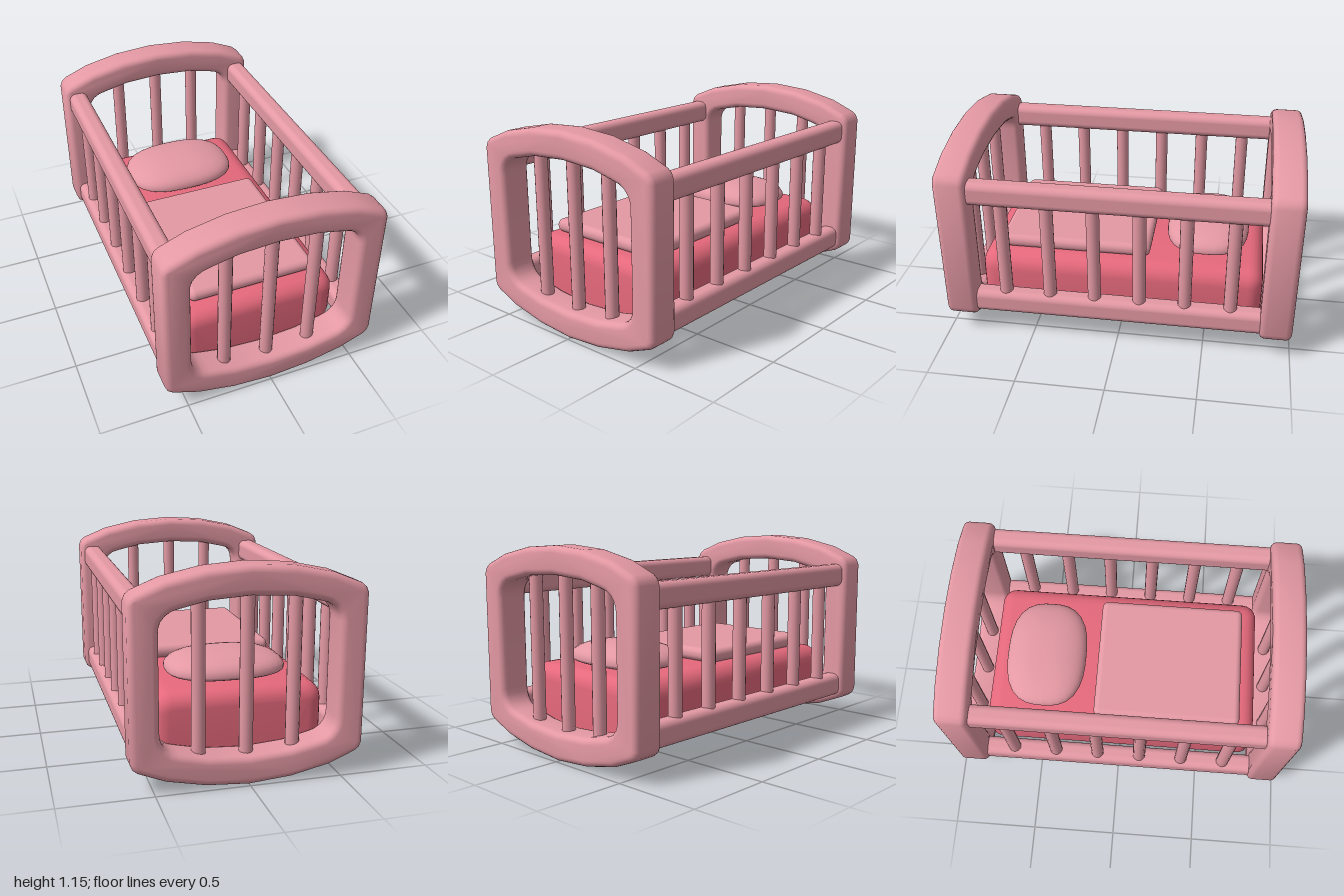
import * as THREE from 'three';
import { toCreasedNormals } from 'three/addons/utils/BufferGeometryUtils.js';
import { RoundedBoxGeometry } from 'three/addons/geometries/RoundedBoxGeometry.js';

const pink = new THREE.MeshStandardMaterial({ color: 0xe499a4 });
pink.name = 'dusty pink';
const red = new THREE.MeshStandardMaterial({ color: 0xe6697c });
red.name = 'rose red';

// Right half of an outline, bottom to top, mirrored into a closed loop
function mirrored(half) {
  const right = half.map(([x, y]) => new THREE.Vector2(x, y));
  const left = half.filter(([x]) => x > 0).reverse().map(([x, y]) => new THREE.Vector2(-x, y));
  return right.concat(left);
}

function addMesh(parent, name, geometry, material, x = 0, y = 0, z = 0) {
  const mesh = new THREE.Mesh(geometry, material);
  mesh.name = name;
  mesh.position.set(x, y, z);
  parent.add(mesh);
  return mesh;
}

// Outline extruded along z, centred, with rounded edges inside the outline
function roundedExtrude(shape, length, bevel) {
  const geometry = new THREE.ExtrudeGeometry(shape, {
    depth: length - 2 * bevel, bevelThickness: bevel, bevelSize: bevel,
    bevelOffset: -bevel, bevelSegments: 5,
  });
  return geometry.translate(0, 0, bevel - length / 2);
}

// Arched end frame with a rounded opening
function endFrameGeometry() {
  const shape = new THREE.Shape(mirrored([
    [0, 0], [0.23, 0.018], [0.44, 0.063], [0.585, 0.122], [0.61, 0.142], [0.623, 0.175],
    [0.623, 0.98], [0.61, 1.012], [0.585, 1.033], [0.44, 1.092], [0.23, 1.137], [0, 1.153],
  ]));
  shape.holes.push(new THREE.Path(mirrored([
    [0, 0.157], [0.22, 0.172], [0.37, 0.205], [0.405, 0.215], [0.435, 0.234], [0.457, 0.262],
    [0.467, 0.29], [0.47, 0.32], [0.47, 0.84], [0.467, 0.868], [0.457, 0.894], [0.435, 0.921],
    [0.405, 0.94], [0.37, 0.95], [0.22, 0.984], [0, 0.998],
  ])));
  return toCreasedNormals(roundedExtrude(shape, 0.185, 0.036), 0.75);
}

// Mattress: rounded top and ends, shallow curved underside
function mattressGeometry() {
  const underside = (x) => 0.088 + 0.132 * (x / 0.47) ** 2;
  const half = [];
  for (let i = 0; i <= 8; i++) half.push([0.47 * i / 8, underside(0.47 * i / 8)]);
  for (let i = 0; i <= 5; i++) {
    const a = i / 5 * Math.PI / 2;
    half.push([0.37 + 0.1 * Math.cos(a), 0.365 + 0.098 * Math.sin(a)]);
  }
  const geometry = roundedExtrude(new THREE.Shape(mirrored(half)), 1.64, 0.085);
  const p = geometry.attributes.position;
  for (let i = 0; i < p.count; i++) {
    if (p.getY(i) < 0.32) p.setY(i, underside(p.getX(i)));
  }
  return toCreasedNormals(geometry, 0.6);
}

// Soft pillow: a sphere squared off in plan, fuller above than below
function pillowGeometry() {
  const geometry = new THREE.SphereGeometry(1, 32, 20);
  const p = geometry.attributes.position;
  const soften = (a, b, n) => Math.pow(Math.abs(a) ** n + Math.abs(b) ** n, -1 / n);
  for (let i = 0; i < p.count; i++) {
    const x = p.getX(i), y = p.getY(i), z = p.getZ(i);
    const r = Math.hypot(x, z);
    const side = soften(r, y, 2.3);
    const plan = r > 1e-6 ? soften(x / r, z / r, 2.7) * side : 0;
    p.setXYZ(i, x * plan * 0.335, y * side * (y > 0 ? 0.1 : 0.045), z * plan * 0.243);
  }
  geometry.computeVertexNormals();
  return geometry;
}

export function createModel() {
  const crib = new THREE.Group();
  crib.name = 'crib';

  // End frames, each with three upright bars
  const frame = endFrameGeometry();
  const endBar = new THREE.CylinderGeometry(0.037, 0.037, 0.88, 16);
  for (const [side, name] of [[1, 'front'], [-1, 'back']]) {
    const end = new THREE.Group();
    end.name = name + 'End';
    end.position.z = side * 0.9075;
    addMesh(end, name + 'Frame', frame, pink);
    for (const x of [-0.255, 0, 0.255]) addMesh(end, name + 'Bar', endBar, pink, x, 0.578, 0);
    crib.add(end);
  }

  // Side railings, each with two rails and six bars
  const rail = new RoundedBoxGeometry(0.113, 0.138, 1.7, 5, 0.04);
  const sideBar = new THREE.CylinderGeometry(0.038, 0.038, 0.62, 16);
  for (const [side, name] of [[1, 'left'], [-1, 'right']]) {
    const railing = new THREE.Group();
    railing.name = name + 'Railing';
    railing.position.x = side * 0.545;
    addMesh(railing, name + 'TopRail', rail, pink, 0, 0.919, 0);
    addMesh(railing, name + 'BottomRail', rail, pink, 0, 0.216, 0);
    for (let i = 0; i < 6; i++) {
      addMesh(railing, name + 'Bar', sideBar, pink, 0, 0.568, -0.646 + i * 0.2588);
    }
    crib.add(railing);
  }

  // Mattress and bedding
  addMesh(crib, 'mattress', mattressGeometry(), red);
  addMesh(crib, 'blanket', new RoundedBoxGeometry(0.75, 0.078, 0.885, 5, 0.037), pink, 0, 0.5, 0.278);
  addMesh(crib, 'pillow', pillowGeometry(), pink, 0, 0.5, -0.482);

  return crib;
}
